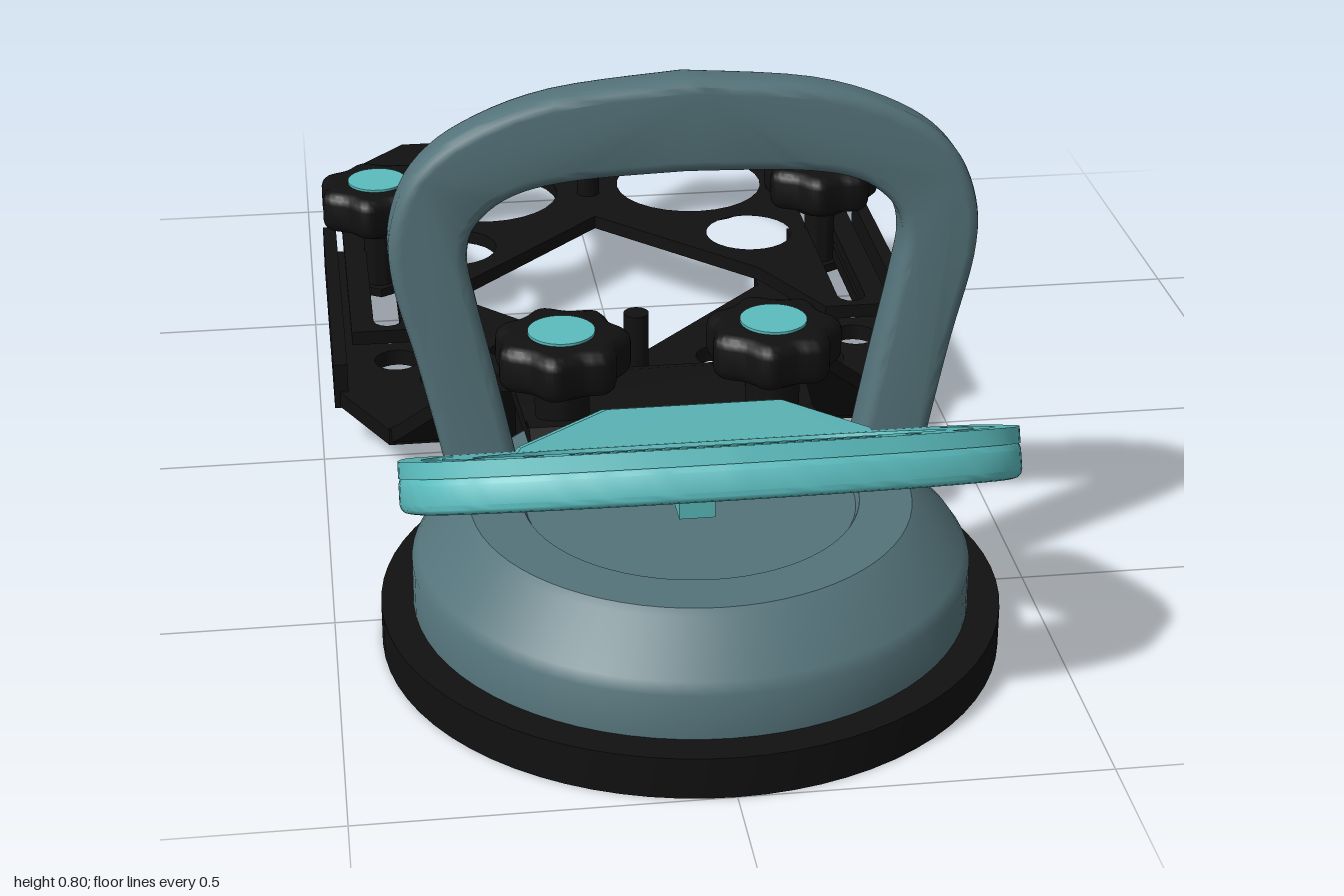
import * as THREE from 'three';
import { toCreasedNormals } from 'three/addons/utils/BufferGeometryUtils.js';

const mat = (name, color) => Object.assign(new THREE.MeshStandardMaterial({ color }), { name });

export function createModel() {
  const black = mat('black', 0x111111);
  const slate = mat('slate', 0x54737a);
  const teal = mat('teal', 0x5bbcbe);
  const root = new THREE.Group();

  const add = (name, geo, material, parent = root, pos = [0, 0, 0]) => {
    const m = new THREE.Mesh(toCreasedNormals(geo, 0.6), material);
    m.name = name;
    m.position.set(...pos);
    parent.add(m);
    return m;
  };
  const cyl = (r1, r2, h, n = 32) => new THREE.CylinderGeometry(r1, r2, h, n);
  const v2 = (p) => new THREE.Vector2(p[0], p[1]);
  // closed symmetric outline from its right half
  const mirrored = (half) => [...half, ...half.slice().reverse().filter(p => p[0] !== 0).map(p => [-p[0], p[1]])];
  // smooth open curve through points
  const smooth = (pts, n = 40) => new THREE.SplineCurve(pts.map(v2)).getPoints(n).map(p => [p.x, p.y]);
  const circle = (x, y, r) => Array.from({ length: 28 }, (_, i) => {
    const a = i / 28 * Math.PI * 2;
    return [x + r * Math.cos(a), y + r * Math.sin(a)];
  });
  // round-ended slot of half width w along a path
  const slot = (pts, w) => {
    const c = new THREE.SplineCurve(pts.map(v2)), n = 16, a = [], b = [];
    for (let i = 0; i <= n; i++) {
      const p = c.getPoint(i / n), t = c.getTangent(i / n);
      a.push([p.x - t.y * w, p.y + t.x * w]);
      b.unshift([p.x + t.y * w, p.y - t.x * w]);
    }
    const cap = (t01, s) => {
      const p = c.getPoint(t01), t = c.getTangent(t01), out = [];
      for (let i = 1; i < 6; i++) {
        const k = i / 6 * Math.PI, co = Math.cos(k) * s * w, si = Math.sin(k) * s * w;
        out.push([p.x - t.y * co + t.x * si, p.y + t.x * co + t.y * si]);
      }
      return out;
    };
    return [...a, ...cap(1, 1), ...b, ...cap(0, -1)];
  };
  const flip = (h) => h.map(p => [-p[0], p[1]]);
  const both = (holes) => holes.flatMap(h => [h, flip(h)]);
  const extrude = (outline, holes, depth, bevel = 0) => {
    const s = new THREE.Shape(outline.map(v2));
    s.holes = holes.map(h => new THREE.Path(h.map(v2)));
    return new THREE.ExtrudeGeometry(s, {
      depth: depth - 2 * bevel, bevelEnabled: bevel > 0, bevelSize: bevel, bevelThickness: bevel,
      bevelOffset: -bevel, bevelSegments: 3,
    }).translate(0, 0, bevel);
  };
  // horizontal plate from [x, z] half outline
  const plate = (name, half, holes, y, h) => {
    const zf = (l) => l.map(p => [p[0], -p[1]]);
    return add(name, extrude(zf(mirrored(half)), holes.map(zf), h).rotateX(-Math.PI / 2), black, root, [0, y, 0]);
  };

  // suction cup and its housing
  const cz = 0.565;
  add('suctionPad', cyl(0.435, 0.435, 0.06, 72), black, root, [0, 0.03, cz]);
  const housing = [[0, 0.05], [0.39, 0.05], [0.39, 0.125], [0.38, 0.14], [0.318, 0.2], [0.308, 0.207],
    [0.235, 0.207], [0.23, 0.198], [0, 0.198]];
  add('cupHousing', new THREE.LatheGeometry(housing.map(v2), 72), slate, root, [0, 0, cz]);

  // upright carrying handle, leaning slightly back
  const outer = smooth([[0.318, -0.04], [0.345, 0.09], [0.372, 0.21], [0.402, 0.33], [0.402, 0.41], [0.37, 0.485],
    [0.3, 0.54], [0.18, 0.582], [0, 0.6]]);
  const inner = smooth([[0, 0.47], [0.15, 0.464], [0.235, 0.447], [0.285, 0.41], [0.3, 0.365], [0.29, 0.3],
    [0.268, 0.2], [0.245, 0.09], [0.22, -0.04]]);
  const arch = [...outer, ...flip(outer).reverse().slice(1), ...flip(inner).reverse(), ...inner.slice(1)];
  const handle = add('carryHandle', extrude(arch, [], 0.074, 0.016).translate(0, 0, -0.037), slate, root, [0, 0.2, 0.515]);
  handle.rotation.x = -0.067;

  // tilted release lever: rounded ring with grooves in its upper face
  const lever = new THREE.Group();
  lever.name = 'releaseLever';
  lever.position.set(0, 0.256, 0.572);
  lever.rotation.x = 63.5 * Math.PI / 180;
  root.add(lever);
  const rim = mirrored([[0, 0], [0.2, 0], ...smooth([[0.36, 0], [0.392, 0.025], [0.408, 0.13], [0.408, 0.24],
    [0.37, 0.325], [0.27, 0.383], [0.13, 0.416], [0, 0.425]])]);
  const opening = mirrored([[0, 0.085], [0.14, 0.085], ...smooth([[0.2, 0.085], [0.27, 0.13], [0.312, 0.2],
    [0.3, 0.25], [0.23, 0.283], [0.12, 0.297], [0, 0.3]])]);
  const grooves = [
    slot([[-0.19, 0.347], [-0.1, 0.358], [0, 0.362], [0.1, 0.358], [0.19, 0.347]], 0.012),
    ...both([slot([[0.345, 0.08], [0.365, 0.16], [0.36, 0.24], [0.315, 0.3]], 0.014), circle(0.245, 0.333, 0.014)]),
  ];
  add('leverRing', extrude(rim, [opening], 0.05, 0.012).translate(0, 0, -0.016), teal, lever);
  add('leverGroovedFace', extrude(rim, [opening, ...grooves], 0.022).translate(0, 0, -0.034), teal, lever);
  // raised web across the rear bar
  const web = [[-0.27, 0], [-0.24, 0.04], [-0.12, 0.085], [0.12, 0.085], [0.24, 0.04], [0.27, 0]];
  add('leverWeb', extrude(web, [], 0.065).rotateX(-Math.PI / 2), teal, lever, [0, 0.005, 0]);
  // hinge cheeks and centre tab, cut from side profiles in [z, y]
  const sideCut = (name, pts, w, x, material) =>
    add(name, extrude(pts.map(p => [-p[0], p[1]]), [], w).rotateY(Math.PI / 2).translate(-w / 2, 0, 0), material, root, [x, 0, 0]);
  const cheek = [[0.43, 0.2], [0.43, 0.255], [0.475, 0.285], [0.575, 0.33], [0.6, 0.23], [0.56, 0.2]];
  for (const s of [-1, 1]) sideCut('hingeCheek', cheek, 0.03, s * 0.065, teal);
  sideCut('hingeTab', [[0.45, 0.2], [0.46, 0.235], [0.58, 0.26], [0.63, 0.245], [0.63, 0.205]], 0.05, 0, teal);

  // rear mounting block wrapped onto the cup
  sideCut('mountBlock', [[0.43, 0.2], [0.43, 0.225], [0.4, 0.24], [0.34, 0.225], [0.2, 0.21], [0.165, 0.17],
    [0.16, 0.1], [0.2, 0.055], [0.35, 0.055]], 0.42, 0, black);

  // stepped neck: a strip bent along [z, y, half width]
  const bend = [[0.42, 0.213, 0.16], [0.38, 0.213, 0.21], [0.2, 0.213, 0.22], [0.175, 0.205, 0.27],
    [0.115, 0.1, 0.385], [0.095, 0.083, 0.4], [0.04, 0.083, 0.42]];
  const neck = new THREE.BoxGeometry(2, 0.026, 1, 1, 1, bend.length - 1);
  const p = neck.attributes.position;
  for (let i = 0; i < p.count; i++) {
    const [z, y, w] = bend[Math.round((0.5 - p.getZ(i)) * (bend.length - 1))];
    p.setXYZ(i, p.getX(i) * w, p.getY(i) + y, z);
  }
  add('steppedNeck', neck, black);

  // front plate with V-shaped notch, drilled holes and slotted arms
  plate('frontPlate', [[0, 0.1], [0.4, 0.1], [0.45, 0], [0.475, -0.05], [0.475, -0.59], [0.34, -0.59], [0.34, -0.45],
    [0.25, -0.4], [0.25, -0.36], [0, -0.1]],
  both([circle(0.3, -0.07, 0.042), circle(0.14, -0.095, 0.035), circle(0.225, 0.01, 0.038), circle(0.2, -0.16, 0.024),
    circle(0.255, -0.225, 0.021), circle(0.375, -0.145, 0.036), slot([[0.385, -0.54], [0.385, -0.23]], 0.023)]),
  0.07, 0.026);
  // sliding rear plate with matching notch
  plate('rearPlate', [[0, -0.84], [0.155, -1], [0.32, -1], [0.445, -0.86], [0.445, -0.19], [0.335, -0.19],
    [0.285, -0.29], [0.25, -0.36], [0, -0.615]],
  both([circle(0.185, -0.745, 0.13), circle(0.258, -0.51, 0.074), slot([[0.385, -0.76], [0.385, -0.23]], 0.023)]),
  0.105, 0.023);

  // upturned guide lips
  for (const s of [-1, 1]) {
    add('guideLip', new THREE.BoxGeometry(0.022, 0.075, 0.55), black, root, [s * 0.468, 0.106, -0.315]);
  }
  // locating pegs
  add('frontPeg', cyl(0.02, 0.02, 0.13, 20), black, root, [0, 0.143, -0.037]);
  add('rearPeg', cyl(0.02, 0.02, 0.115, 20), black, root, [0, 0.167, -0.725]);

  // lobed clamping knobs with coloured caps
  const lobes = Array.from({ length: 84 }, (_, i) => {
    const a = i / 84 * Math.PI * 2, r = 0.094 + 0.007 * Math.cos(7 * a);
    return [r * Math.cos(a), r * Math.sin(a)];
  });
  const knob = (x, z, top, foot, stemR) => {
    const g = new THREE.Group();
    g.name = 'clampKnob';
    g.position.set(x, top, z);
    root.add(g);
    add('knobGrip', extrude(lobes, [], 0.07, 0.018).rotateX(-Math.PI / 2), black, g, [0, -0.072, 0]);
    add('knobCollar', cyl(0.055, 0.045, 0.02), black, g, [0, -0.08, 0]);
    add('knobStem', cyl(stemR, stemR, top - foot - 0.07, 24), black, g, [0, (foot - top - 0.07) / 2, 0]);
    add('knobCap', cyl(0.049, 0.049, 0.008), teal, g, [0, -0.002, 0]);
  };
  for (const s of [-1, 1]) {
    knob(s * 0.155, 0.328, 0.357, 0.21, 0.04);
    knob(s * 0.385, -0.52, 0.256, 0.05, 0.026);
    add('clampNut', cyl(0.042, 0.042, 0.015, 6), black, root, [s * 0.385, 0.063, -0.52]);
  }
  return root;
}
